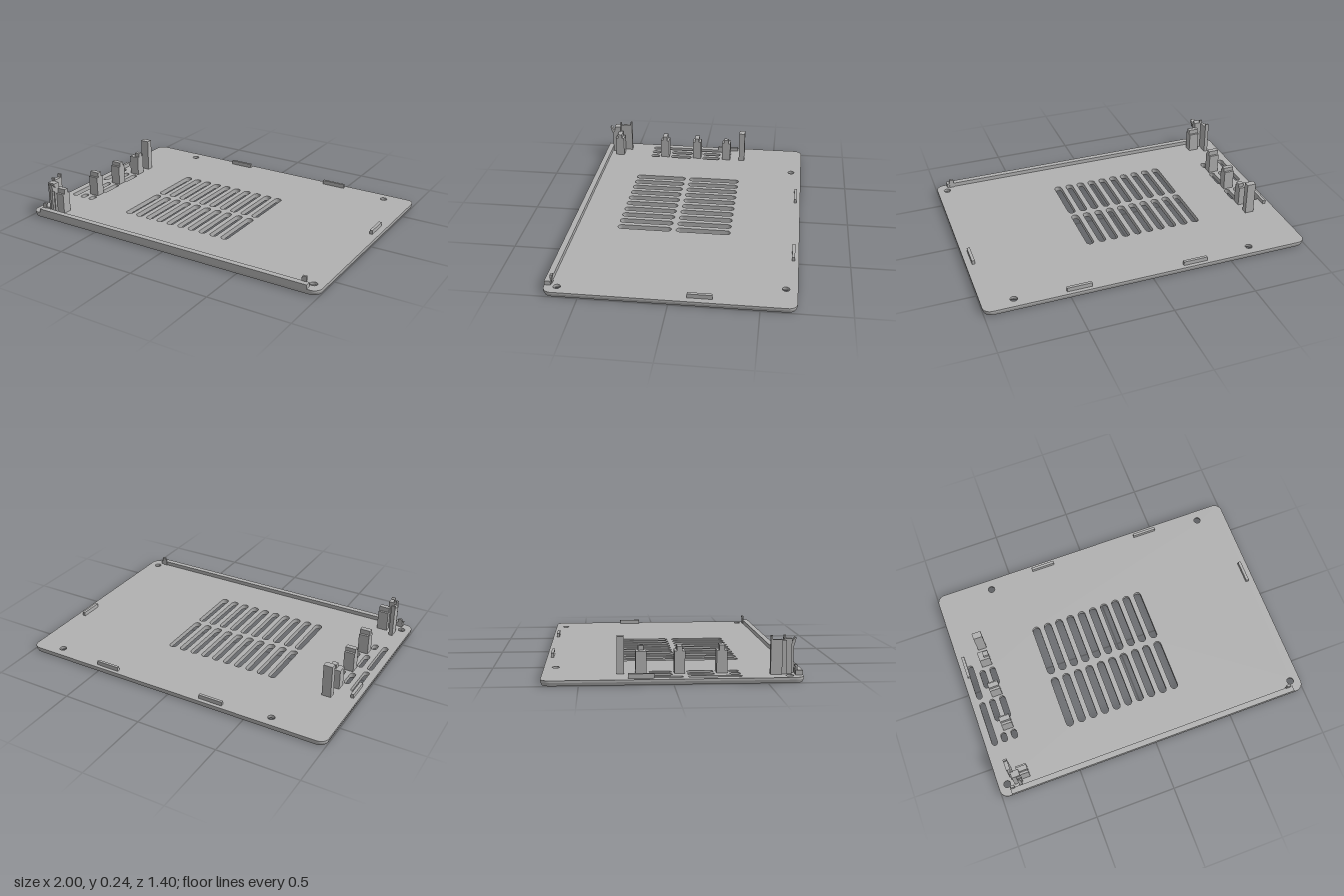
import * as THREE from 'three';

const W = 1, D = 0.7, R = 0.05, TOP = 0.03, SPLIT = 0.018;
const SCREWS = [[-0.645, -0.633], [0.815, -0.633], [-0.945, 0.627], [0.938, 0.627]];

// Rounded-rectangle outline; shape y is -z
function outline() {
  const s = new THREE.Shape(), h = Math.PI / 2;
  s.absarc(W - R, D - R, R, 0, h, false);
  s.absarc(-W + R, D - R, R, h, 2 * h, false);
  s.absarc(-W + R, -D + R, R, 2 * h, 3 * h, false);
  s.absarc(W - R, -D + R, R, 3 * h, 4 * h, false);
  s.closePath();
  return s;
}

// Round-ended slot running along z
function slot(x, z0, z1, width) {
  const p = new THREE.Path(), r = width / 2;
  p.absarc(x, -z0 - r, r, 0, Math.PI, false);
  p.absarc(x, -z1 + r, r, Math.PI, Math.PI * 2, false);
  p.closePath();
  return p;
}

function ventSlots() {
  const list = [];
  for (let i = 0; i < 10; i++) {
    const x = -0.46 + i * 0.0776;
    list.push(slot(x, -0.28, 0.055, 0.046), slot(x, 0.084, 0.418, 0.046));
  }
  list.push(slot(-0.938, -0.175, 0.056, 0.035), slot(-0.938, 0.083, 0.372, 0.035));
  for (const x of [-0.873, -0.807]) {
    list.push(slot(x, -0.12, 0.002, 0.035), slot(x, 0.083, 0.23, 0.035), slot(x, 0.313, 0.372, 0.035));
  }
  return list;
}

function plateLayer(y0, y1, holeRadius) {
  const s = outline();
  s.holes.push(...ventSlots());
  for (const [x, z] of SCREWS) {
    const p = new THREE.Path();
    p.absarc(x, -z, holeRadius, 0, Math.PI * 2, false);
    s.holes.push(p);
  }
  const g = new THREE.ExtrudeGeometry(s, { depth: y1 - y0, bevelEnabled: false, curveSegments: 12 });
  return g.rotateX(-Math.PI / 2).translate(0, y0, 0);
}

export function createModel() {
  const model = new THREE.Group();
  model.name = 'ventedBaseCover';
  const grey = new THREE.MeshStandardMaterial({ color: 0xb0b0b0 });
  grey.name = 'grey plastic';
  const inner = new THREE.MeshStandardMaterial({ color: 0xb0b0b0, side: THREE.DoubleSide });
  inner.name = 'grey plastic recess';

  const add = (name, geometry, material = grey) => {
    const m = new THREE.Mesh(geometry, material);
    m.name = name;
    model.add(m);
    return m;
  };
  // Box given by its limits on each axis
  const box = (name, x0, x1, y0, y1, z0, z1) => add(name,
    new THREE.BoxGeometry(x1 - x0, y1 - y0, z1 - z0).translate((x0 + x1) / 2, (y0 + y1) / 2, (z0 + z1) / 2));

  // Plate: upper layer, and lower layer with a chamfered bottom rim
  add('plateTop', plateLayer(SPLIT, TOP, 0.021));
  const lower = plateLayer(0, SPLIT, 0.033);
  const p = lower.attributes.position;
  for (let i = 0; i < p.count; i++) {
    const x = p.getX(i), z = p.getZ(i);
    if (p.getY(i) < 0.001 && (Math.abs(x) > 0.983 || Math.abs(z) > 0.683)) {
      p.setX(i, x * 0.994);
      p.setZ(i, z * 0.992);
    }
  }
  lower.computeVertexNormals();
  add('plateBottom', lower);

  // Countersunk screw holes
  for (const [x, z] of SCREWS) {
    add('countersink', new THREE.CylinderGeometry(0.021, 0.033, SPLIT, 24, 1, true).translate(x, SPLIT / 2, z), inner);
  }

  // Front lip with a small catch at each end
  box('frontLip', -0.935, 0.93, TOP, 0.055, 0.665, 0.7);
  for (const x of [-0.92, 0.9]) {
    box('lipCatch', x - 0.014, x + 0.014, TOP, 0.075, 0.66, 0.67);
    box('lipCatchTip', x - 0.01, x + 0.014, 0.075, 0.085, 0.656, 0.67);
  }

  // Locating tabs on the sides and back
  box('leftTab', 0.945, 0.963, TOP, 0.055, -0.24, -0.1);
  box('rightTab', -0.97, -0.952, TOP, 0.055, -0.24, -0.1);
  box('backTab', -0.35, -0.2, TOP, 0.055, -0.677, -0.66);
  box('backTab', 0.367, 0.517, TOP, 0.055, -0.677, -0.66);

  // Row of support posts with narrow tips
  box('tallPost', -0.853, -0.797, TOP, 0.235, -0.297, -0.258);
  for (const [z, h, x0] of [[-0.167, 0.18, -0.83], [0.043, 0.18, -0.862], [0.272, 0.185, -0.862], [0.6, 0.185, -0.862]]) {
    box('supportPost', -0.862, -0.797, TOP, 0.155, z - 0.029, z + 0.029);
    box('supportPostTip', x0, -0.797, 0.155, h, z - 0.015, z + 0.015);
  }

  // Clip tower in the front right corner
  box('clipWall', -0.917, -0.893, TOP, 0.22, 0.527, 0.59);
  box('clipWallTip', -0.917, -0.893, 0.22, 0.242, 0.527, 0.537);
  box('clipBridge', -0.91, -0.893, TOP, 0.215, 0.585, 0.615);
  box('clipBlock', -0.9, -0.85, TOP, 0.222, 0.605, 0.645);
  box('clipBlockTip', -0.9, -0.882, 0.222, 0.242, 0.6, 0.61);
  box('clipColumn', -0.875, -0.857, TOP, 0.2, 0.64, 0.66);
  const hook = new THREE.Shape([[0.64, 0.2], [0.655, 0.175], [0.664, 0.18], [0.675, 0.222], [0.668, 0.225], [0.655, 0.205]]
    .map(([z, y]) => new THREE.Vector2(-z, y)));
  add('clipHook', new THREE.ExtrudeGeometry(hook, { depth: 0.025, bevelEnabled: false })
    .rotateY(Math.PI / 2).translate(-0.87, 0, 0));

  return model;
}
